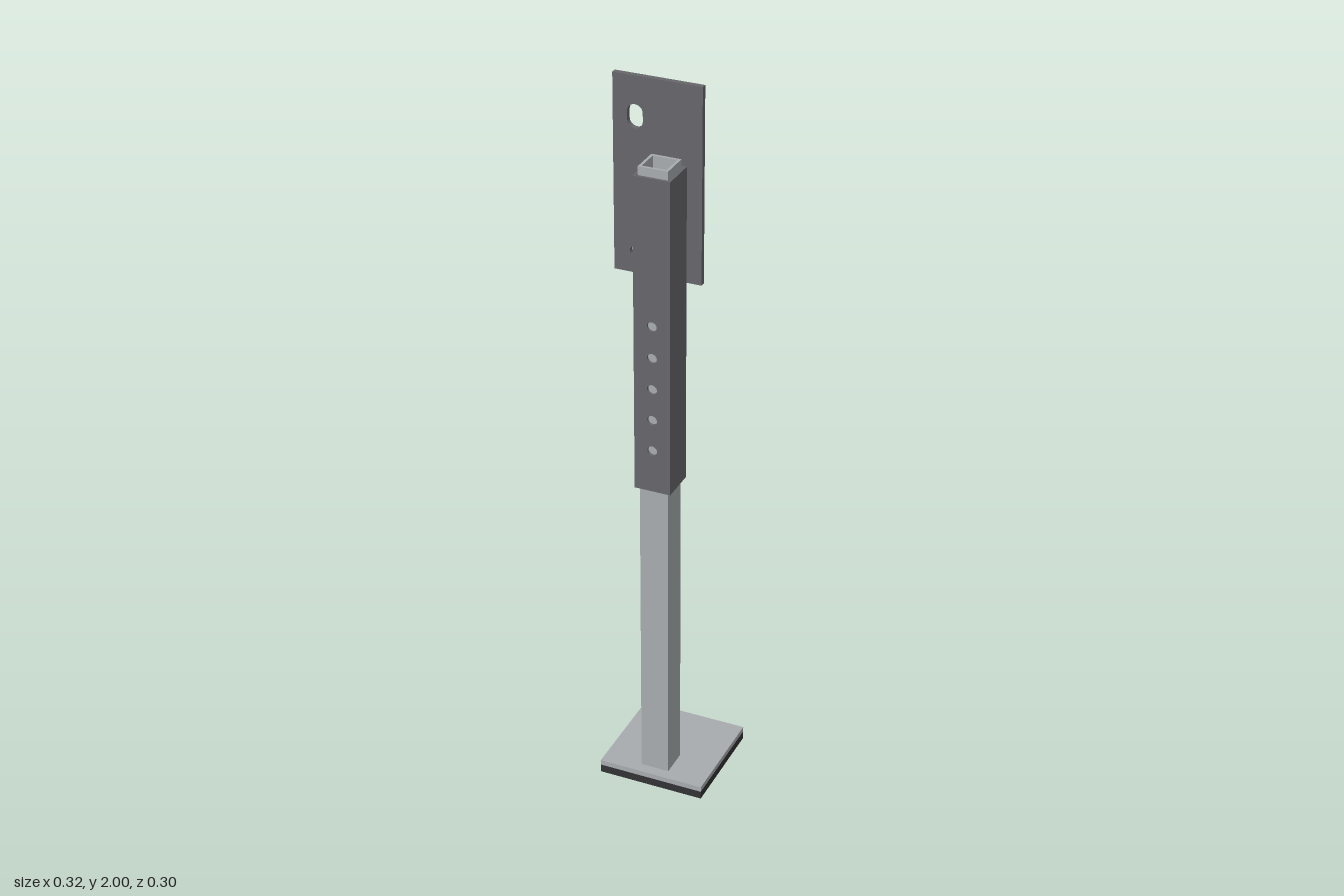
import * as THREE from 'three';

const steel = new THREE.MeshStandardMaterial({ color: 0xa9adb0 });
const painted = new THREE.MeshStandardMaterial({ color: 0x67676c });
const rubber = new THREE.MeshStandardMaterial({ color: 0x333335 });

const rect = (Type, x0, y0, x1, y1) => {
  const r = new Type();
  r.moveTo(x0, y0);
  r.lineTo(x1, y0);
  r.lineTo(x1, y1);
  r.lineTo(x0, y1);
  r.closePath();
  return r;
};

// Round hole, or an upright slot when half > 0
const slot = (x, y, r, half = 0) => {
  const p = new THREE.Path();
  p.absarc(x, y + half, r, 0, Math.PI, false);
  p.absarc(x, y - half, r, Math.PI, Math.PI * 2, false);
  p.closePath();
  return p;
};

const extrude = (shape, depth) =>
  new THREE.ExtrudeGeometry(shape, { depth, bevelEnabled: false, curveSegments: 16 });

function add(parent, name, geometry, material, x = 0, y = 0, z = 0) {
  const mesh = new THREE.Mesh(geometry, material);
  mesh.name = name;
  mesh.position.set(x, y, z);
  parent.add(mesh);
  return mesh;
}

export function createModel() {
  const model = new THREE.Group();
  model.name = 'adjustableLeg';
  const cx = 0.01, cz = 0.08;

  // Foot: rubber pad under a steel plate
  add(model, 'rubberPad', new THREE.BoxGeometry(0.3, 0.023, 0.3), rubber, cx, 0.0115, 0);
  add(model, 'footPlate', new THREE.BoxGeometry(0.3, 0.015, 0.3), steel, cx, 0.0305, 0);

  // Inner square tube, open at the top
  const section = rect(THREE.Shape, -0.04, -0.04, 0.04, 0.04);
  section.holes.push(rect(THREE.Path, -0.0325, -0.0325, 0.0325, 0.0325));
  const innerTube = extrude(section, 1.792).rotateX(-Math.PI / 2);
  add(model, 'innerTube', innerTube, steel, cx, 0.038, cz);

  // Outer sleeve: drilled front and back walls joined by two side walls
  const sleeve = new THREE.Group();
  sleeve.name = 'outerSleeve';
  sleeve.position.set(cx, 0, cz);
  model.add(sleeve);
  const y0 = 0.93, y1 = 1.808, wall = 0.0075, half = 0.05;
  const face = rect(THREE.Shape, -half, y0, half, y1);
  for (let i = 0; i < 5; i++) face.holes.push(slot(0, 1.05 + i * 0.089, 0.0135));
  const drilledWall = extrude(face, wall);
  add(sleeve, 'frontWall', drilledWall, painted, 0, 0, half - wall);
  add(sleeve, 'backWall', drilledWall, painted, 0, 0, -half);
  const sideWall = new THREE.BoxGeometry(wall, y1 - y0, 2 * (half - wall));
  for (const [name, s] of [['leftWall', 1], ['rightWall', -1]])
    add(sleeve, name, sideWall, painted, s * (half - wall / 2), (y0 + y1) / 2, 0);

  // Mounting plate with a slot above and a round hole below
  const plate = rect(THREE.Shape, -0.16, 1.467, 0.08, 2);
  plate.holes.push(slot(-0.1, 1.893, 0.021, 0.011), slot(-0.1, 1.526, 0.016));
  add(model, 'mountingPlate', extrude(plate, 0.015), painted, 0, 0, -0.033);

  return model;
}
